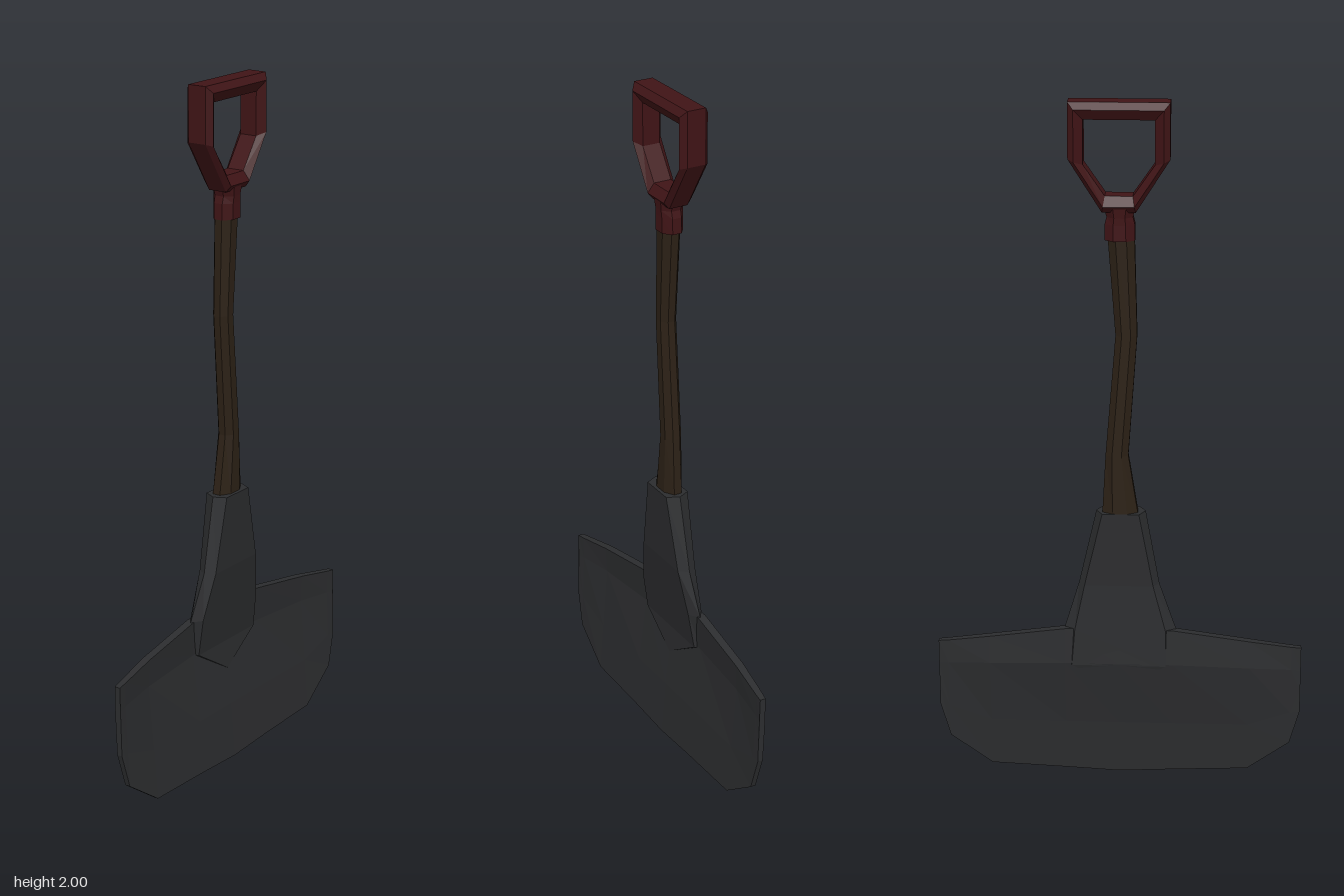
import * as THREE from 'three';

const metal = new THREE.MeshStandardMaterial({ color: 0x2c2d2f, flatShading: true, roughness: 0.8 });
const wood = new THREE.MeshStandardMaterial({ color: 0x2c2116, flatShading: true, roughness: 0.9 });
const red = new THREE.MeshStandardMaterial({ color: 0x401416, flatShading: true, roughness: 0.8 });

// Skins a series of equal-sized rings; either joined end to end or capped
function loft(name, material, rings, closed = false) {
  const n = rings[0].length, m = rings.length;
  const points = rings.flat();
  let tris = [];
  for (let i = 0; i < (closed ? m : m - 1); i++) {
    for (let j = 0; j < n; j++) {
      const a = i * n + j, b = i * n + (j + 1) % n;
      const c = ((i + 1) % m) * n + j, d = ((i + 1) % m) * n + (j + 1) % n;
      tris.push([a, b, d], [a, d, c]);
    }
  }
  if (!closed) {
    const last = (m - 1) * n;
    for (let j = 1; j < n - 1; j++) tris.push([0, j + 1, j], [last, last + j, last + j + 1]);
  }
  // Turn all faces outward
  const v = points.map(p => new THREE.Vector3(...p));
  const volume = tris.reduce((s, [a, b, c]) => s + v[a].dot(v[b].clone().cross(v[c])), 0);
  if (volume < 0) tris = tris.map(([a, b, c]) => [a, c, b]);
  const geometry = new THREE.BufferGeometry();
  geometry.setAttribute('position', new THREE.Float32BufferAttribute(points.flat(), 3));
  geometry.setIndex(tris.flat());
  const flat = geometry.toNonIndexed();
  flat.computeVertexNormals();
  const mesh = new THREE.Mesh(flat, material);
  mesh.name = name;
  return mesh;
}

// Horizontal elliptical ring with a given number of sides
function ring(x, y, rx, rz, sides) {
  return Array.from({ length: sides }, (_, i) => {
    const a = (i + 0.5) / sides * Math.PI * 2;
    const k = 1 / Math.cos(Math.PI / sides);
    return [x + Math.cos(a) * rx * k, y, Math.sin(a) * rz * k];
  });
}

function createBlade() {
  // Columns from the middle outward: x, heights, front depths, back depths
  const half = [
    [0, [0.48, 0.37, 0.17, 0.005], [-0.005, -0.012, 0.014, 0.028], [-0.03, -0.037, -0.004, 0.012]],
    [0.155, [0.475, 0.37, 0.17, 0.013], [-0.004, -0.01, 0.015, 0.028], [-0.029, -0.035, -0.003, 0.012]],
    [0.375, [0.441, 0.36, 0.17, 0.022], [0.006, 0.002, 0.018, 0.03], [-0.018, -0.024, 0, 0.013]],
    [0.497, [0.42, 0.35, 0.21, 0.11], [0.017, 0.016, 0.022, 0.027], [-0.003, -0.005, 0.004, 0.011]],
    [0.525, [0.416, 0.345, 0.28, 0.212], [0.019, 0.019, 0.021, 0.023], [0.002, 0.002, 0.004, 0.007]],
  ];
  const section = ([x, ys, front, back], side) => [
    ...ys.map((y, i) => [x * side, y, front[i]]),
    ...ys.map((y, i) => [x * side, y, back[i]]).reverse(),
  ];
  const left = half.slice(1).reverse().map(c => section(c, -1));
  return loft('blade', metal, [...left, ...half.map(c => section(c, 1))]);
}

function createSocket() {
  // Height, centre x, side half width, face half width, front z, back z
  const rows = [
    [0.83, -0.005, 0.07, 0.052, 0.039, -0.031],
    [0.61, 0, 0.115, 0.098, 0.03, -0.026],
    [0.475, -0.004, 0.16, 0.13, 0.012, -0.032],
    [0.365, 0, 0.145, 0.135, -0.003, -0.036],
    [0.28, 0, 0.004, 0.002, 0.001, -0.012],
  ];
  return loft('socket', metal, rows.map(([y, x, w, f, front, back]) => {
    const mid = (front + back) / 2;
    return [
      [x - f, y, front], [x + f, y, front], [x + w, y, mid],
      [x + f, y, back], [x - f, y, back], [x - w, y, mid],
    ];
  }));
}

function createShaft() {
  const rows = [
    [-0.003, 0.8, 0.052, 0.03], [-0.003, 0.83, 0.05, 0.029], [0.006, 1.0, 0.032, 0.026],
    [-0.02, 1.35, 0.03, 0.025], [-0.005, 1.64, 0.037, 0.028],
  ];
  return loft('shaft', wood, rows.map(([x, y, rx, rz]) => ring(x, y, rx, rz, 8)));
}

function createHandle() {
  const handle = new THREE.Group();
  handle.name = 'handle';
  // Outer and inner corners of the open grip, right half from the top
  const corners = [
    [0.138, 2.0, 0.097, 1.952],
    [0.138, 1.845, 0.097, 1.83],
    [0.046, 1.7, 0.038, 1.745],
  ];
  const mirrored = corners.map(([a, b, c, d]) => [-a, b, -c, d]).reverse();
  // Bevelled profile: step from outer to inner edge, depth
  const profile = [[0, 0.028], [0.4, 0.043], [1, 0.026], [1, -0.026], [0.4, -0.043], [0, -0.028]];
  const rings = [...corners, ...mirrored].map(([ox, oy, ix, iy]) =>
    profile.map(([t, z]) => [ox + (ix - ox) * t, oy + (iy - oy) * t, z]));
  handle.add(loft('grip', red, rings, true));
  // Collar around the shaft top
  const collar = [[1.62, 0.042, 0.033], [1.665, 0.041, 0.033], [1.685, 0.036, 0.034], [1.72, 0.045, 0.038]];
  handle.add(loft('collar', red, collar.map(([y, rx, rz]) => ring(-0.002, y, rx, rz, 8))));
  return handle;
}

export function createModel() {
  const model = new THREE.Group();
  model.name = 'shovel';
  model.add(createBlade(), createSocket(), createShaft(), createHandle());
  return model;
}
